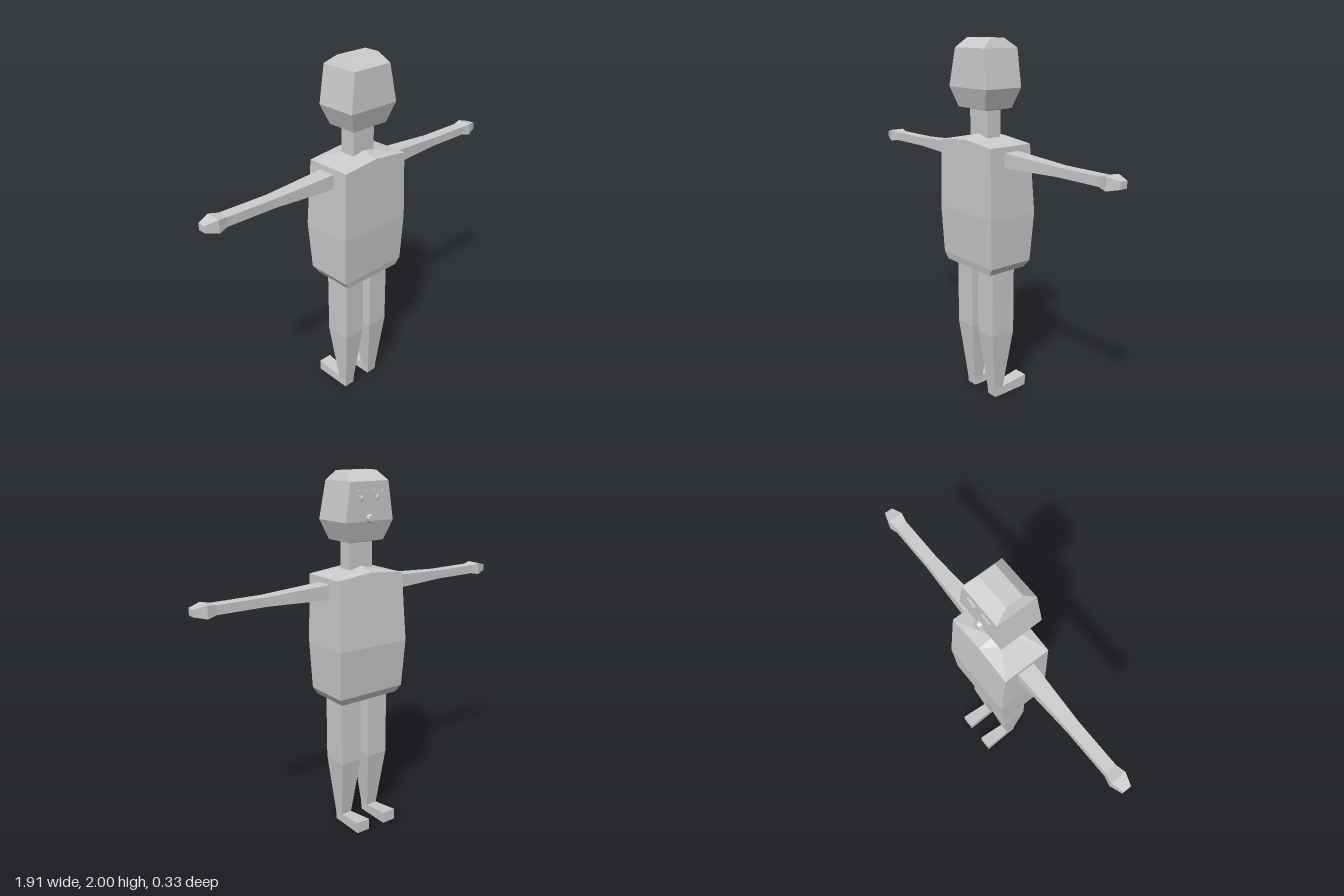
import * as THREE from 'three';

const material = new THREE.MeshStandardMaterial({ color: 0xcccccc, flatShading: true });

function add(parent, name, geometry) {
  const mesh = new THREE.Mesh(geometry, material);
  mesh.name = name;
  parent.add(mesh);
  return mesh;
}

// Skins a row of equal rings; each ring runs counter-clockwise seen from the last ring's side.
function loft(rings) {
  const n = rings[0].length;
  const index = [];
  for (let r = 0; r < rings.length - 1; r++) {
    for (let i = 0; i < n; i++) {
      const a = r * n + i, b = r * n + (i + 1) % n;
      index.push(a, b, b + n, a, b + n, a + n);
    }
  }
  const last = (rings.length - 1) * n;
  for (let i = 1; i < n - 1; i++) {
    index.push(0, i + 1, i, last, last + i, last + i + 1);
  }
  const g = new THREE.BufferGeometry();
  g.setAttribute('position', new THREE.Float32BufferAttribute(rings.flat(2), 3));
  g.setIndex(index);
  const flat = g.toNonIndexed();
  flat.computeVertexNormals();
  return flat;
}

// Rectangular ring at height y, from x0 to x1 and z0 to z1
const ringY = (y, x0, x1, z0, z1) => [[x0, y, z1], [x1, y, z1], [x1, y, z0], [x0, y, z0]];

// Rectangular ring at position x, centred on the arm's axis
const ringX = (x, y, hy, hz, z = 0.022) =>
  [[x, y - hy, z - hz], [x, y + hy, z - hz], [x, y + hy, z + hz], [x, y - hy, z + hz]];

// Rectangular ring at depth z, for the foot
const ringZ = (z, x0, x1, y0, y1) => [[x0, y0, z], [x0, y1, z], [x1, y1, z], [x1, y0, z]];

// Torso ring with a middle point on the front and the back, which can be raised
const torsoRing = (y, hx, z0, z1, midY = y) =>
  [[-hx, y, z1], [0, midY, z1], [hx, y, z1], [hx, y, z0], [0, midY, z0], [-hx, y, z0]];

function createArm(side) {
  const arm = new THREE.Group();
  arm.name = side > 0 ? 'leftArm' : 'rightArm';
  const rings = [
    ringX(0.18, 1.395, 0.041, 0.05),
    ringX(0.57, 1.393, 0.024, 0.033),
    ringX(0.84, 1.393, 0.024, 0.033),
    ringX(0.89, 1.392, 0.034, 0.043),
    ringX(0.955, 1.392, 0.018, 0.023),
  ];
  const parts = { armAndHand: rings };
  addMirrored(arm, parts, side);
  return arm;
}

function createLeg(side) {
  const leg = new THREE.Group();
  leg.name = side > 0 ? 'leftLeg' : 'rightLeg';
  addMirrored(leg, {
    shinAndThigh: [
      ringY(0, 0.06, 0.125, 0, 0.055),
      ringY(0.05, 0.06, 0.125, 0, 0.06),
      ringY(0.4, 0.027, 0.155, -0.05, 0.1),
      ringY(0.8, 0.027, 0.155, -0.05, 0.1),
    ],
    foot: [
      ringZ(0.01, 0.06, 0.125, 0, 0.05),
      ringZ(-0.165, 0.053, 0.133, 0.01, 0.075),
    ],
  }, side);
  return leg;
}

// Mirrors ring points across x, reversing their order so faces stay outward
function addMirrored(group, parts, side) {
  for (const [name, rings] of Object.entries(parts)) {
    const placed = side > 0 ? rings
      : rings.map(ring => ring.map(([x, y, z]) => [-x, y, z]).reverse());
    add(group, name, loft(placed));
  }
}

export function createModel() {
  const model = new THREE.Group();
  model.name = 'figure';

  add(model, 'torso', loft([
    torsoRing(0.78, 0.185, -0.095, 0.145),
    torsoRing(0.82, 0.21, -0.115, 0.153),
    torsoRing(1.09, 0.22, -0.135, 0.165),
    torsoRing(1.465, 0.21, -0.105, 0.162, 1.487),
    torsoRing(1.495, 0.06, -0.018, 0.07, 1.51),
  ]));

  add(model, 'neck', loft([
    ringY(1.47, -0.072, 0.072, -0.018, 0.07),
    ringY(1.65, -0.072, 0.072, -0.018, 0.07),
  ]));

  const head = new THREE.Group();
  head.name = 'head';
  model.add(head);
  add(head, 'skull', loft([
    ringY(1.635, -0.075, 0.075, -0.02, 0.07),
    ringY(1.645, -0.113, 0.113, -0.06, 0.115),
    ringY(1.75, -0.153, 0.153, -0.09, 0.145),
    ringY(1.95, -0.12, 0.12, -0.09, 0.13),
    ringY(2, -0.095, 0.095, -0.02, 0.07),
  ]));

  // Face, looking towards -z
  for (const side of [1, -1]) {
    const label = side > 0 ? 'left' : 'right';
    add(head, label + 'Brow', new THREE.BoxGeometry(0.06, 0.012, 0.016))
      .position.set(side * 0.052, 1.9, -0.091);
    const eye = add(head, label + 'Eye', new THREE.SphereGeometry(0.016, 8, 6));
    eye.scale.set(0.65, 1, 0.6);
    eye.position.set(side * 0.05, 1.868, -0.09);
  }
  const mouth = add(head, 'mouth', new THREE.CylinderGeometry(0.018, 0.026, 0.03, 8));
  mouth.rotation.x = -Math.PI / 2;
  mouth.position.set(0, 1.765, -0.095);

  for (const side of [1, -1]) model.add(createArm(side), createLeg(side));
  return model;
}
